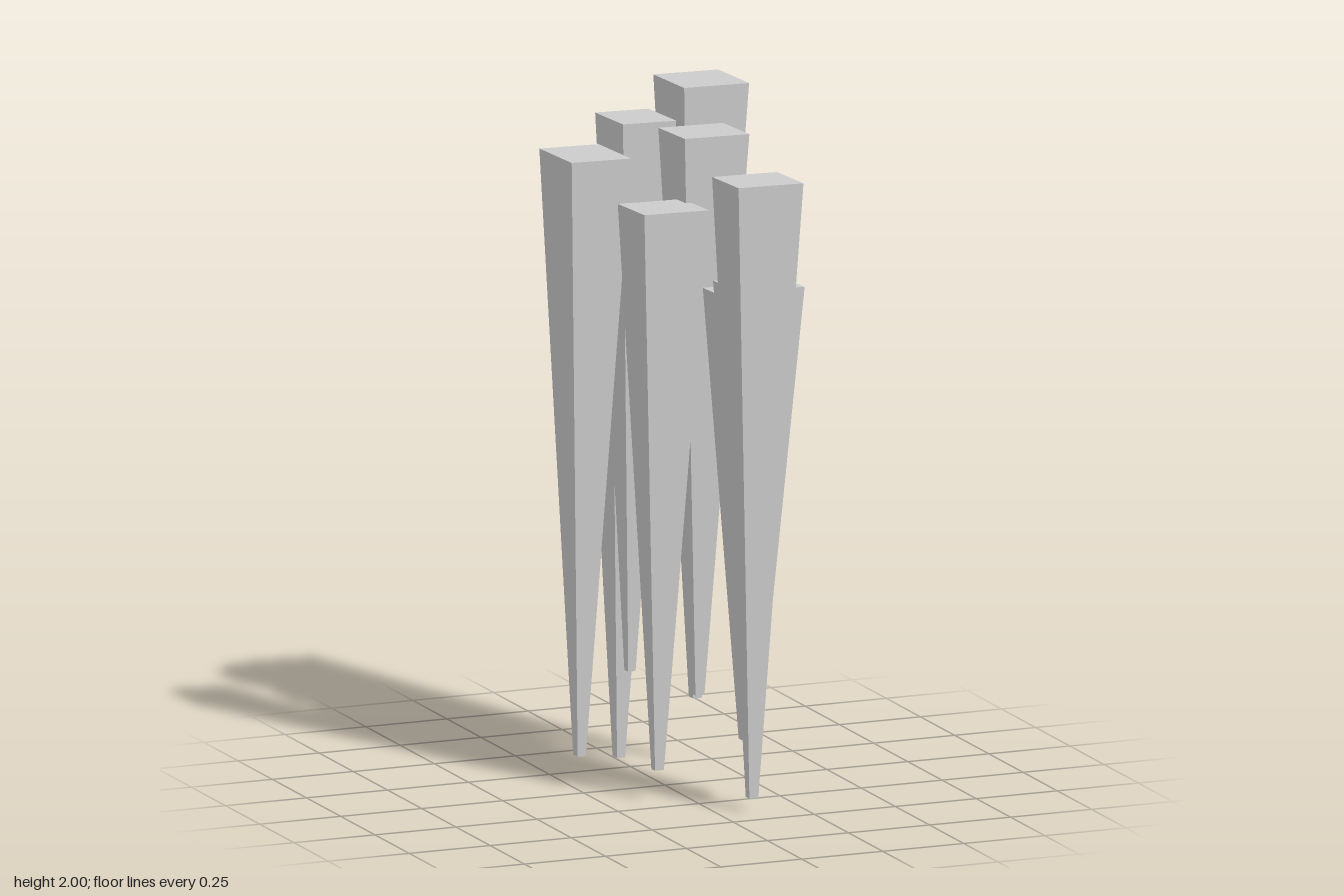
import * as THREE from 'three';

// Each spike: top centre x, z; top width, depth; bottom y, top y
const SPIKES = [
  [0.036, -0.379, 0.174, 0.200, 0.00, 1.762],
  [0.010, -0.236, 0.158, 0.168, 0.285, 1.90],
  [0.199, -0.205, 0.194, 0.190, 0.197, 2.00],
  [-0.210, -0.084, 0.177, 0.201, 0.09, 1.845],
  [0.086, 0.082, 0.193, 0.158, 0.277, 1.92],
  [-0.074, 0.165, 0.193, 0.159, 0.09, 1.73],
  [0.145, 0.287, 0.195, 0.193, 0.185, 1.488],
  [0.145, 0.344, 0.195, 0.157, 0.22, 1.525],
  [0.118, 0.400, 0.194, 0.158, 0.042, 1.842],
];

const SKEW = 0.015;        // sideways slant of the top face
const TIP_SCALE = 0.138;   // tip size relative to the top
const TIP_SHIFT = [-0.019, 0.003];

// Skewed box tapering down to a small blunt tip
function spikeGeometry([cx, cz, w, d, y0, y1]) {
  const geometry = new THREE.BoxGeometry(1, 1, 1);
  const p = geometry.attributes.position;
  for (let i = 0; i < p.count; i++) {
    const u = p.getX(i), v = p.getZ(i), top = p.getY(i) > 0;
    const s = top ? 1 : TIP_SCALE;
    p.setXYZ(
      i,
      cx + s * (u * w + v * SKEW) + (top ? 0 : TIP_SHIFT[0]),
      top ? y1 : y0,
      cz + s * (v * d + u * SKEW) + (top ? 0 : TIP_SHIFT[1])
    );
  }
  geometry.computeVertexNormals();
  return geometry;
}

export function createModel() {
  const group = new THREE.Group();
  group.name = 'spikeCluster';
  const material = new THREE.MeshStandardMaterial({ color: 0xcccccc, flatShading: true });
  SPIKES.forEach((spec, i) => {
    const spike = new THREE.Mesh(spikeGeometry(spec), material);
    spike.name = `spike${i + 1}`;
    group.add(spike);
  });
  return group;
}
